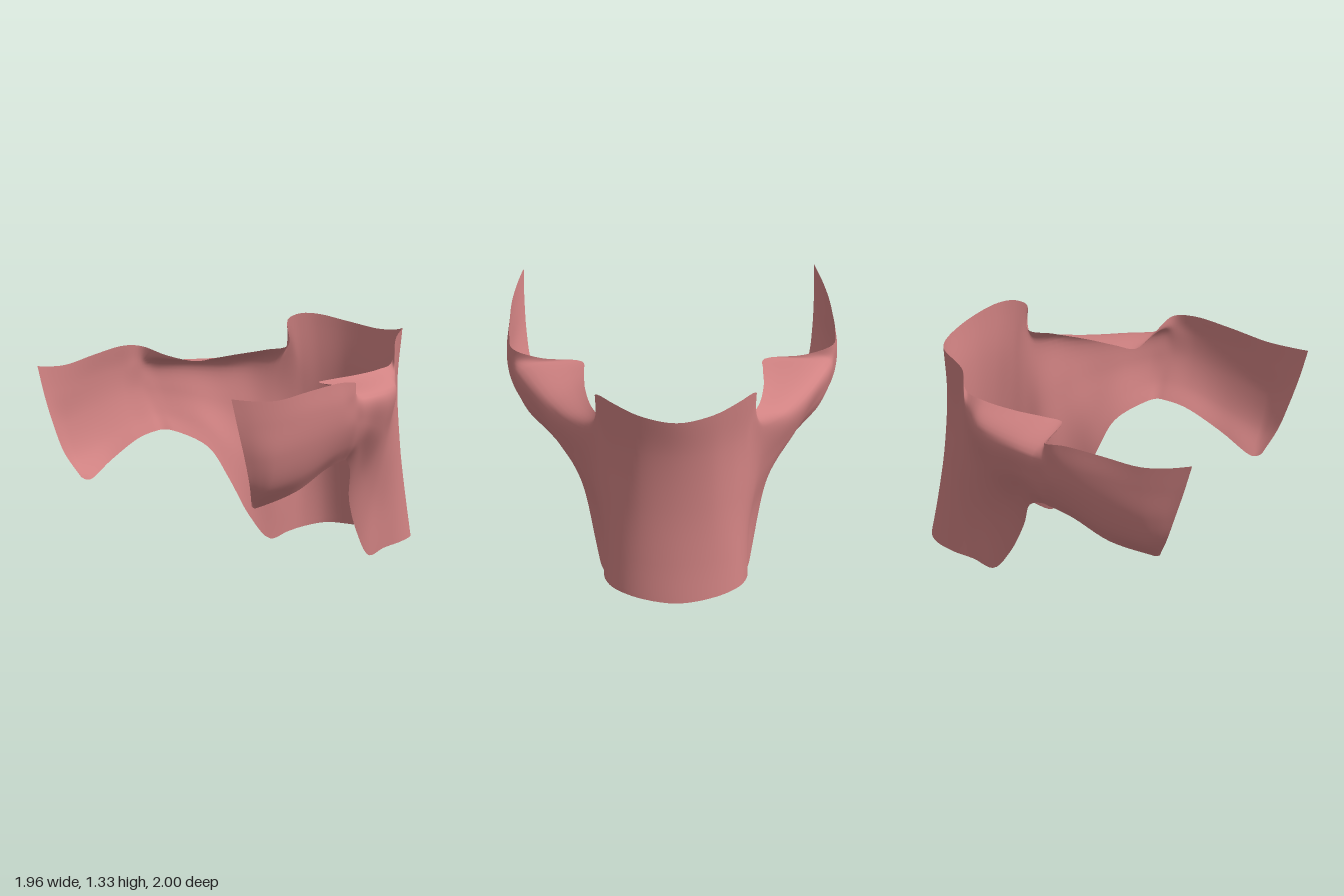
import * as THREE from 'three';

// Cross-sections of the left half (+x), each running from the lower hem to the upper edge.
// Back panel: centre back round to the collar corner
const backPanel = [
  [[0, .04, -1], [0, .28, -.955], [0, .62, -.91], [0, 1, -.9], [0, 1.26, -.93]],
  [[.23, .055, -.955], [.22, .28, -.92], [.21, .62, -.88], [.21, 1, -.865], [.22, 1.285, -.885]],
  [[.37, .065, -.86], [.355, .28, -.84], [.335, .62, -.81], [.335, 1, -.79], [.38, 1.32, -.79]],
  [[.42, .05, -.73], [.415, .28, -.73], [.41, .62, -.73], [.41, 1, -.715], [.45, 1.32, -.71]],
  [[.425, .03, -.6], [.43, .28, -.62], [.455, .62, -.65], [.455, 1.08, -.665], [.48, 1.285, -.648]],
];

// Shoulder: the wall flares outward and folds over into a flat flap
const shoulder = [
  [[.44, 0, -.47], [.445, .32, -.51], [.5, .68, -.565], [.52, 1.02, -.61], [.455, 1.14, -.635]],
  [[.48, .15, -.34], [.52, .45, -.4], [.6, .75, -.46], [.645, 1.02, -.5], [.5, 1.12, -.5]],
  [[.53, .37, -.23], [.59, .56, -.28], [.7, .8, -.34], [.74, 1.02, -.35], [.53, 1.11, -.28]],
  [[.63, .56, -.15], [.7, .69, -.17], [.79, .85, -.19], [.83, 1.03, -.18], [.53, 1.105, -.1]],
  [[.76, .655, 0], [.83, .75, -.02], [.89, .89, -.03], [.905, 1.04, -.01], [.54, 1.1, .02]],
  [[.8, .665, .05], [.865, .76, .04], [.92, .9, .04], [.935, 1.05, .05], [.78, 1.11, .045]],
];

// Front wing: upright sheet curling inward along its lower hem
const frontWing = [
  [[.81, .66, .1], [.88, .76, .1], [.94, .9, .1], [.955, 1.05, .1], [.95, 1.15, .09]],
  [[.825, .63, .22], [.9, .73, .22], [.96, .88, .22], [.977, 1.03, .22], [.965, 1.165, .22]],
  [[.82, .52, .45], [.9, .64, .45], [.955, .82, .45], [.967, 1, .45], [.955, 1.14, .45]],
  [[.74, .44, .68], [.86, .57, .69], [.92, .76, .7], [.932, .95, .7], [.935, 1.105, .7]],
  [[.745, .44, .715], [.84, .575, .755], [.89, .76, .795], [.9, .95, .83], [.9, 1.115, .87]],
  [[.755, .455, .745], [.82, .6, .82], [.845, .76, .88], [.857, .95, .945], [.86, 1.135, 1]],
];

const smooth = (points, steps) => new THREE.CatmullRomCurve3(points, false, 'centripetal').getPoints(steps);

// Skin a smooth sheet through a row of sections
function loftSheet(sections, stepsV, stepsPerSection) {
  const columns = sections.map((s) => smooth(s, stepsV));
  const nu = (sections.length - 1) * stepsPerSection;
  const positions = [];
  const index = [];
  for (let v = 0; v <= stepsV; v++) {
    for (const p of smooth(columns.map((c) => c[v]), nu)) positions.push(p.x, p.y, p.z);
  }
  for (let v = 0; v < stepsV; v++) {
    for (let u = 0; u < nu; u++) {
      const a = v * (nu + 1) + u;
      const c = a + nu + 1;
      index.push(a, c, c + 1, a, c + 1, a + 1);
    }
  }
  const geometry = new THREE.BufferGeometry();
  geometry.setAttribute('position', new THREE.Float32BufferAttribute(positions, 3));
  geometry.setIndex(index);
  geometry.computeVertexNormals();
  return geometry;
}

export function createModel() {
  const group = new THREE.Group();
  group.name = 'openVest';

  const cloth = new THREE.MeshStandardMaterial({ color: 0xd08282, side: THREE.DoubleSide });
  cloth.name = 'dusty pink cloth';

  // Mirror the half across x = 0 and skin the whole garment in one piece
  const half = [...backPanel, ...shoulder, ...frontWing];
  const toVectors = (side) => (section) => section.map(([x, y, z]) => new THREE.Vector3(side * x, y, z));
  const sections = [...half.slice(1).reverse().map(toVectors(-1)), ...half.map(toVectors(1))];

  const vest = new THREE.Mesh(loftSheet(sections, 28, 5), cloth);
  vest.name = 'vestShell';
  group.add(vest);
  return group;
}
